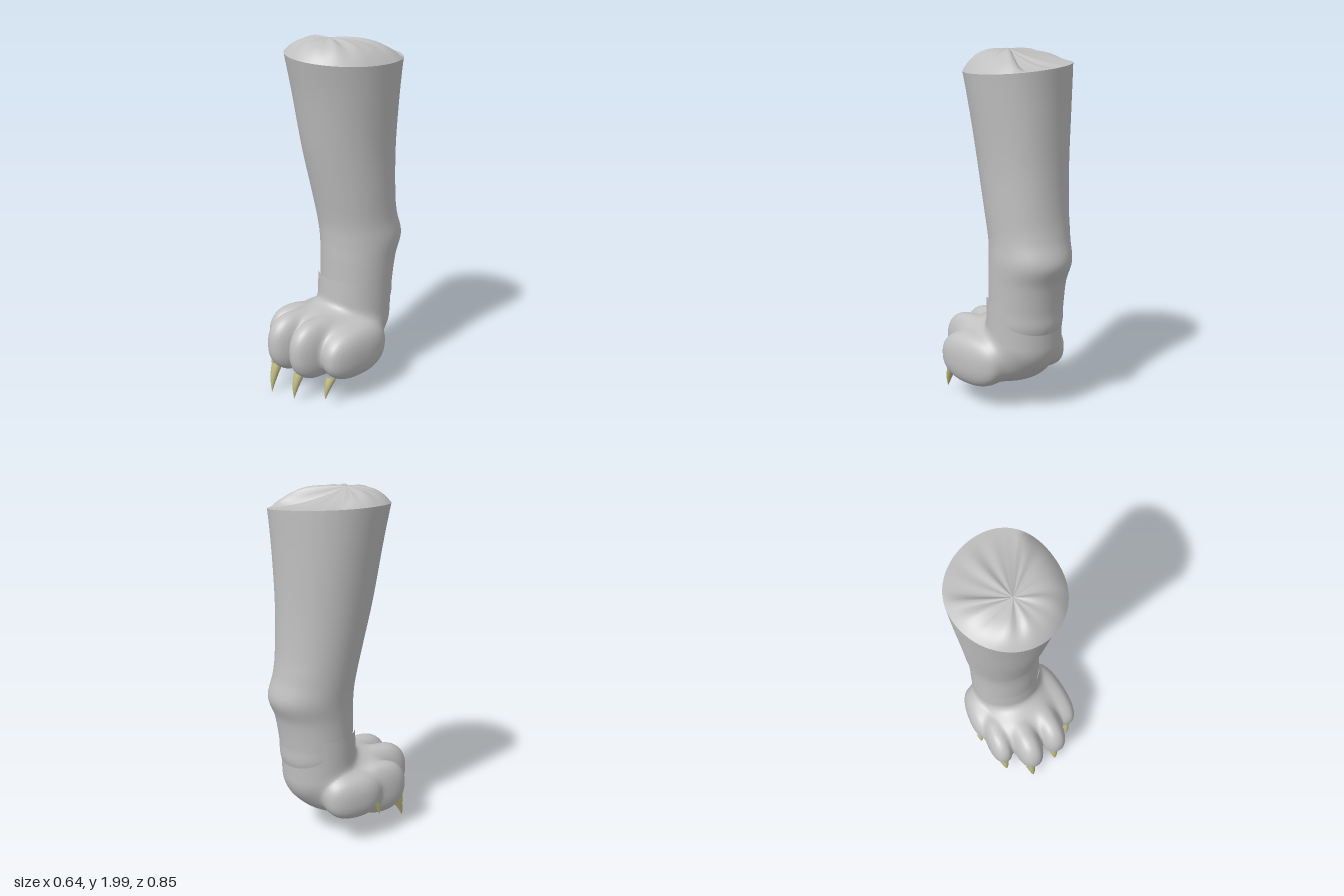
import * as THREE from 'three';

const skin = new THREE.MeshStandardMaterial({ color: 0xc0c0c0 });
skin.name = 'greySkin';
const horn = new THREE.MeshStandardMaterial({ color: 0xc1bd84 });
horn.name = 'paleHorn';

const AROUND = 72;
const STEPS = 64;

// Leg cross-sections: front z, front y, back z, back y, min x, max x
const SECTIONS = [
  [0.26, 1.90, -0.38, 1.90, -0.325, 0.262],
  [0.215, 1.70, -0.37, 1.70, -0.308, 0.243],
  [0.16, 1.40, -0.365, 1.40, -0.28, 0.215],
  [0.105, 1.15, -0.375, 1.15, -0.257, 0.203],
  [0.07, 0.98, -0.395, 1.00, -0.243, 0.197],
  [0.06, 0.87, -0.426, 0.87, -0.233, 0.203],
  [0.058, 0.75, -0.385, 0.75, -0.222, 0.2],
  [0.056, 0.62, -0.361, 0.60, -0.221, 0.197],
  [0.052, 0.54, -0.355, 0.50, -0.218, 0.194],
  [0.02, 0.44, -0.32, 0.40, -0.19, 0.17],
];

// Smooth interpolation of the section table
function sectionAt(t) {
  const f = t * (SECTIONS.length - 1);
  const i = Math.min(Math.floor(f), SECTIONS.length - 2);
  const u = f - i;
  const at = (k) => SECTIONS[Math.max(0, Math.min(SECTIONS.length - 1, k))];
  return SECTIONS[0].map((_, c) => {
    const [a, b, d, e] = [at(i - 1)[c], at(i)[c], at(i + 1)[c], at(i + 2)[c]];
    return b + 0.5 * u * (d - a + u * (2 * a - 5 * b + 4 * d - e + u * (3 * (b - d) + e - a)));
  });
}

// Point on a section; the angle starts at the front and turns to +x
function sectionPoint([zf, yf, zb, yb, x0, x1], angle, t) {
  const c = Math.cos(angle), n = Math.sin(angle);
  const skew = c < 0 ? 0.05 * c * c * Math.max(0, 1 - 2.5 * t) : 0;
  const x = (x0 + x1) / 2 + n * (x1 - x0) / 2;
  const tilt = -0.1 * (x + 0.03) * Math.max(0, 1 - t * 6);
  return [x + skew, (yf + yb) / 2 + c * (yf - yb) / 2 + tilt, (zf + zb) / 2 + c * (zf - zb) / 2];
}

function build(positions, index) {
  const g = new THREE.BufferGeometry();
  g.setAttribute('position', new THREE.Float32BufferAttribute(positions, 3));
  g.setIndex(index);
  g.computeVertexNormals();
  return g;
}

// Skin a list of rings, from top to bottom, with outward faces
function loft(rings) {
  const n = rings[0].length, index = [];
  for (let r = 0; r < rings.length - 1; r++) {
    for (let i = 0; i < n; i++) {
      const a = r * n + i, b = r * n + (i + 1) % n;
      index.push(a, a + n, b, b, a + n, b + n);
    }
  }
  return build(rings.flat(2), index);
}

function ring(count, fn) {
  return Array.from({ length: count }, (_, i) => fn((i / count) * Math.PI * 2));
}

function legGeometry() {
  const rings = [];
  for (let k = 0; k <= STEPS; k++) {
    const t = k / STEPS, s = sectionAt(t);
    rings.push(ring(AROUND, (a) => sectionPoint(s, a, t)));
  }
  return loft(rings);
}

// Domed cap with light folds and a sunken wedge at the back right
function capGeometry() {
  const peak = [-0.03, 1.995, 0.03];
  const rings = [];
  for (let k = 0; k <= 16; k++) {
    const r = k / 16;
    rings.push(ring(AROUND, (a) => {
      const rim = sectionPoint(SECTIONS[0], a, 0);
      const p = rim.map((v, c) => peak[c] + (v - peak[c]) * r);
      const wedge = THREE.MathUtils.smoothstep(Math.cos(a - Math.PI - 0.4), 0.45, 0.65);
      const rise = THREE.MathUtils.lerp(1 - r ** 3.6, (1 - r) ** 1.8, wedge);
      const fold = 0.004 * Math.sin(Math.PI * r) * (Math.sin(9 * a) + Math.sin(14 * a + 1) - 1);
      p[1] = rim[1] + (peak[1] - rim[1]) * rise + fold;
      return p;
    }));
  }
  return loft(rings);
}

// Each toe: centre, radii, outward turn, softness into the foot, claw base, tip and radius
const TOES = [
  { name: 'dewClaw', at: [-0.236, 0.29, -0.035], size: [0.08, 0.125, 0.165], turn: -0.06, soft: 0.08,
    base: [-0.286, 0.25, 0.07], tip: [-0.293, 0.165, 0.105], r: 0.024 },
  { name: 'innerClaw', at: [-0.203, 0.285, 0.155], size: [0.074, 0.155, 0.165], turn: -0.03, soft: 0.05,
    base: [-0.213, 0.18, 0.265], tip: [-0.208, 0.06, 0.315], r: 0.03 },
  { name: 'longClaw', at: [-0.053, 0.298, 0.25], size: [0.088, 0.172, 0.173], turn: 0, soft: 0.05,
    base: [-0.072, 0.18, 0.36], tip: [-0.063, 0.005, 0.41], r: 0.033 },
  { name: 'middleClaw', at: [0.11, 0.298, 0.215], size: [0.085, 0.172, 0.175], turn: 0.05, soft: 0.05,
    base: [0.105, 0.18, 0.325], tip: [0.108, 0.025, 0.37], r: 0.032 },
  { name: 'outerClaw', at: [0.23, 0.272, 0.04], size: [0.083, 0.142, 0.215], turn: 0.13, soft: 0.09,
    base: [0.245, 0.175, 0.205], tip: [0.246, 0.045, 0.252], r: 0.03 },
];

// Heel-to-instep masses that the toes grow from
const PADS = [
  { at: [0, 0.29, 0.03], size: [0.24, 0.155, 0.25], turn: 0 },
  { at: [0, 0.315, 0.1], size: [0.2, 0.145, 0.16], turn: 0 },
];

// First-order distance to a turned, slightly blunt ellipsoid
function blob(p, { at, size, turn }) {
  const x = p[0] - at[0], y = p[1] - at[1], z = p[2] - at[2];
  const c = Math.cos(turn), s = Math.sin(turn), e = 2.35;
  const q = [x * c - z * s, y, x * s + z * c].map((v, i) => Math.abs(v / size[i]) + 1e-6);
  const k = (q[0] ** e + q[1] ** e + q[2] ** e) ** (1 / e);
  return (k - 1) / Math.hypot(...q.map((v, i) => (v / k) ** (e - 1) / size[i]));
}

// Union with a soft fillet
function blend(a, b, k) {
  const h = Math.max(k - Math.abs(a - b), 0) / k;
  return Math.min(a, b) - h * h * k / 4;
}

function footDistance(p) {
  // Rounded ankle and heel
  const u = THREE.MathUtils.clamp((0.85 - p[1]) / 0.45, 0, 1);
  let body = Math.hypot(p[0] + 0.012, p[1] - 0.85 + 0.45 * u, p[2] + 0.152 - 0.02 * u) - 0.204;
  for (const pad of PADS) body = blend(body, blob(p, pad), 0.07);
  return TOES.map((t) => blend(body, blob(p, t), t.soft)).reduce((a, b) => blend(a, b, 0.016));
}

// Quad mesh of the blended foot on a grid, open at the hidden top
function footGeometry() {
  const h = 0.0115, origin = [-0.37, 0.08, -0.4], count = [64, 50, 74];
  const node = (g, o = 0) => g.map((v, i) => origin[i] + (v + o) * h);
  const key = (g) => (g[0] * 100 + g[1]) * 100 + g[2];
  const cells = new Map(), positions = [], index = [], field = new Map();
  const distance = (g) => {
    if (!field.has(key(g))) field.set(key(g), footDistance(node(g)));
    return field.get(key(g));
  };
  // One vertex per surface cell, pulled onto the surface
  const vertex = (g) => {
    if (!cells.has(key(g))) {
      let p = node(g, 0.5);
      for (let n = 0; n < 4; n++) {
        const d = footDistance(p);
        const grad = p.map((_, i) => (footDistance(p.map((v, j) => v + (i === j ? 1e-4 : 0))) - d) / 1e-4);
        const len = grad.reduce((sum, v) => sum + v * v, 0.05);
        p = p.map((v, i) => v - d * grad[i] / len);
      }
      cells.set(key(g), positions.length / 3);
      positions.push(...p);
    }
    return cells.get(key(g));
  };
  for (let i = 1; i < count[0]; i++) for (let j = 1; j < count[1]; j++) for (let k = 1; k < count[2]; k++) {
    const g = [i, j, k], low = distance(g) < 0;
    for (let a = 0; a < 3; a++) {
      const step = (axis, n, from = g) => from.map((v, m) => v + (m === axis ? n : 0));
      if (low === distance(step(a, 1)) < 0) continue;
      const b = (a + 1) % 3, c = (a + 2) % 3;
      const q = [step(b, -1, step(c, -1)), step(c, -1), g, step(b, -1)].map(vertex);
      if (!low) q.reverse();
      index.push(q[0], q[1], q[2], q[0], q[2], q[3]);
    }
  }
  return build(positions, index);
}

// Curved claw from base to tip
function clawGeometry({ base, tip, r }) {
  return loft(Array.from({ length: 7 }, (_, k) => {
    const t = k / 6, radius = r * (1 - t) * (1 + 0.4 * t) + 0.0005;
    const [x, y, z] = base.map((v, i) => v + (tip[i] - v) * t);
    const bow = 0.008 * Math.sin(Math.PI * t);
    return ring(12, (a) => [x + Math.sin(a) * radius, y, z + bow + Math.cos(a) * radius]);
  }));
}

export function createModel() {
  const model = new THREE.Group();
  model.name = 'clawedLeg';
  const add = (name, geometry, material) => {
    const mesh = new THREE.Mesh(geometry, material);
    mesh.name = name;
    model.add(mesh);
  };
  add('leg', legGeometry(), skin);
  add('topCap', capGeometry(), skin);
  add('foot', footGeometry(), skin);
  for (const toe of TOES) add(toe.name, clawGeometry(toe), horn);
  return model;
}
